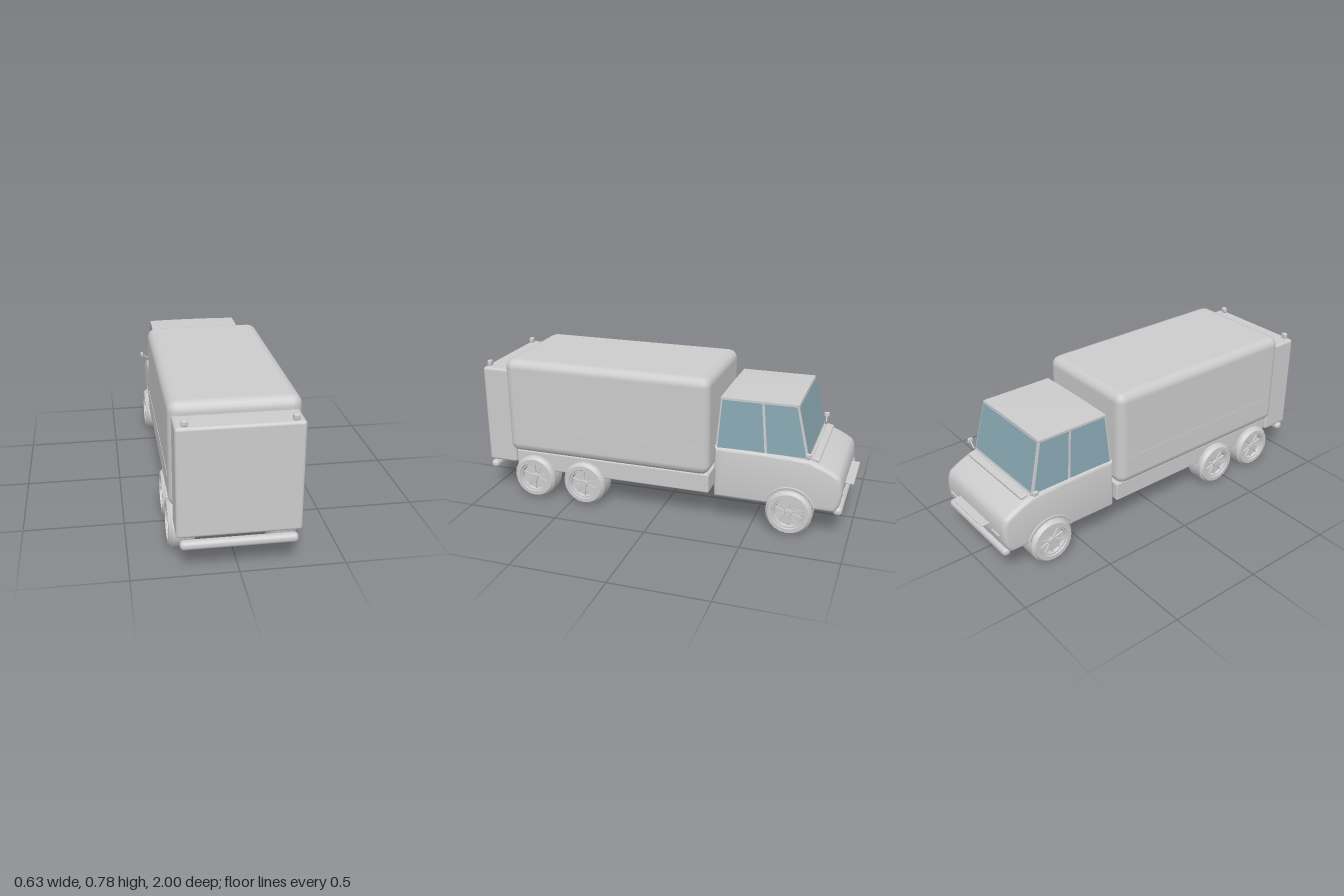
import * as THREE from 'three';
import { toCreasedNormals } from 'three/addons/utils/BufferGeometryUtils.js';
import { RoundedBoxGeometry } from 'three/addons/geometries/RoundedBoxGeometry.js';

const grey = new THREE.MeshStandardMaterial({ color: 0xcccccc });
const glass = new THREE.MeshStandardMaterial({ color: 0x89a7b2, side: THREE.DoubleSide });

export function createModel() {
  const truck = new THREE.Group();
  truck.name = 'boxTruck';

  function add(name, geometry, x = 0, y = 0, z = 0, material = grey, parent = truck) {
    const mesh = new THREE.Mesh(geometry, material);
    mesh.name = name;
    mesh.position.set(x, y, z);
    parent.add(mesh);
    return mesh;
  }
  const rounded = (w, h, d, r, seg = 2) => new RoundedBoxGeometry(w, h, d, seg, r);

  // Cargo body, rear door section and chassis
  add('cargoBox', rounded(0.61, 0.525, 1.137, 0.05), 0, 0.5225, 0.288);
  add('rearDoor', rounded(0.576, 0.537, 0.165, 0.015), 0, 0.4565, 0.9075);
  add('chassis', rounded(0.54, 0.105, 1.105, 0.008), 0, 0.2075, 0.2775);

  // Cab lower body: side profile (forward distance, height) extruded across the width
  const side = new THREE.Shape();
  side.moveTo(0.31, 0.147);
  side.lineTo(0.92, 0.147);
  side.quadraticCurveTo(0.955, 0.17, 0.957, 0.25);
  side.quadraticCurveTo(0.957, 0.325, 0.935, 0.345);
  side.quadraticCurveTo(0.86, 0.395, 0.77, 0.415);
  side.quadraticCurveTo(0.55, 0.432, 0.302, 0.425);
  side.lineTo(0.302, 0.157);
  side.closePath();
  const lower = new THREE.ExtrudeGeometry(side, {
    depth: 0.506, curveSegments: 8, bevelThickness: 0.03, bevelSize: 0.02, bevelOffset: -0.02, bevelSegments: 4,
  });
  lower.translate(0, 0, -0.253).rotateY(Math.PI / 2);
  add('cabBody', toCreasedNormals(lower, 0.6));

  // Cab upper body: tapered box, wide and long at the belt, narrow at the roof
  const base = { w: 0.268, y: 0.405, back: -0.308, front: -0.785 };
  const roof = { w: 0.25, y: 0.682, back: -0.328, front: -0.717 };
  const upper = new THREE.BoxGeometry(2, 1, 1);
  const pos = upper.attributes.position;
  for (let i = 0; i < pos.count; i++) {
    const e = pos.getY(i) > 0 ? roof : base;
    pos.setXYZ(i, Math.sign(pos.getX(i)) * e.w, e.y, pos.getZ(i) > 0 ? e.back : e.front);
  }
  upper.computeVertexNormals();
  add('cabUpper', upper);

  // Slightly crowned roof skin
  const skin = new THREE.BoxGeometry(0.504, 0.012, 0.394, 8, 1, 6);
  const sp = skin.attributes.position;
  for (let i = 0; i < sp.count; i++) {
    const u = sp.getX(i) / 0.252, v = sp.getZ(i) / 0.197;
    if (sp.getY(i) > 0) sp.setY(i, 0.002 + 0.006 * (1 - u * u) * (1 - 0.5 * v * v));
  }
  skin.computeVertexNormals();
  add('cabRoof', toCreasedNormals(skin, 0.5), 0, 0.682, -0.5225);

  // Glass panes lie on the sloping faces; t runs from belt to roof
  const mix = THREE.MathUtils.lerp;
  const at = (t, key) => mix(base[key], roof[key], t);
  function pane(name, point, u0, u1, t0, t1) {
    const c = [point(u0, t0), point(u1, t0), point(u1, t1), point(u0, t1)];
    const g = new THREE.BufferGeometry();
    g.setAttribute('position', new THREE.Float32BufferAttribute(c.flat(), 3));
    g.setIndex([0, 1, 2, 0, 2, 3]);
    g.computeVertexNormals();
    add(name, g, 0, 0, 0, glass);
  }
  const frontPoint = (u, t) => [-u * at(t, 'w'), at(t, 'y'), at(t, 'front') - 0.003];
  pane('windscreen', frontPoint, -0.97, 0.97, 0.08, 0.97);
  for (const s of [1, -1]) {
    const sidePoint = (u, t) => {
      const v = s > 0 ? u : 1 - u;
      return [s * (at(t, 'w') + 0.003), at(t, 'y'), mix(at(t, 'back'), at(t, 'front'), v)];
    };
    for (const [name, a, b] of [['rearSideWindow', 0.02, 0.535], ['frontSideWindow', 0.565, 0.98]]) {
      pane(name, sidePoint, s > 0 ? a : 1 - b, s > 0 ? b : 1 - a, 0.06, 0.97);
    }
  }

  // Cowl, grille plate and bumpers
  const cowl = add('cowlStrip', rounded(0.505, 0.018, 0.04, 0.006), 0, 0.409, -0.815);
  cowl.rotation.x = -0.2;
  add('grillePlate', rounded(0.286, 0.01, 0.055, 0.004), 0, 0.258, -0.9725);
  add('frontBumper', rounded(0.544, 0.044, 0.045, 0.02, 4), 0, 0.15, -0.94);
  add('rearBumper', rounded(0.544, 0.044, 0.045, 0.02, 4), 0, 0.149, 0.9775);

  // Details on each side
  for (const s of [1, -1]) {
    add('sideRail', new THREE.BoxGeometry(0.006, 0.03, 1.03), s * 0.304, 0.407, 0.285);
    add('roofLamp', rounded(0.032, 0.03, 0.024, 0.008), s * 0.243, 0.74, 0.967);
    add('lampFoot', new THREE.CylinderGeometry(0.008, 0.01, 0.01, 10), s * 0.243, 0.727, 0.967);
    add('headlamp', rounded(0.07, 0.012, 0.02, 0.004), s * 0.2, 0.237, -0.953);
    add('mirror', rounded(0.016, 0.027, 0.03, 0.007), s * 0.307, 0.449, -0.787);
    const stalk = new THREE.LineCurve3(
      new THREE.Vector3(s * 0.265, 0.42, -0.79), new THREE.Vector3(s * 0.304, 0.446, -0.788));
    add('mirrorStalk', new THREE.TubeGeometry(stalk, 1, 0.004, 8));
    const arch = new THREE.TorusGeometry(0.132, 0.006, 8, 24, Math.PI * 0.8);
    arch.rotateZ(Math.PI * 0.1).rotateY(Math.PI / 2);
    add('wheelArch', arch, s * 0.281, 0.122, -0.7);
  }

  // Wheels: lathed tyre with a recessed rim, spokes and hub
  const profile = [[0, -0.0625], [0.105, -0.0625], [0.12, -0.045], [0.12, 0.045], [0.106, 0.0625],
    [0.085, 0.0625], [0.082, 0.056], [0.074, 0.056], [0.07, 0.04], [0, 0.04]];
  const tyre = toCreasedNormals(
    new THREE.LatheGeometry(profile.map(([r, y]) => new THREE.Vector2(r, y)), 20), 0.5);
  tyre.rotateZ(-Math.PI / 2);
  const hub = new THREE.CylinderGeometry(0.018, 0.024, 0.018, 16).rotateZ(-Math.PI / 2);
  const spoke = new THREE.BoxGeometry(0.01, 0.056, 0.008).translate(0, 0.045, 0);
  for (const s of [1, -1]) {
    for (const z of [0.715, 0.42, -0.7]) {
      const wheel = new THREE.Group();
      wheel.name = z < 0 ? 'frontWheel' : 'rearWheel';
      wheel.position.set(s * 0.2435, 0.12, z);
      if (s < 0) wheel.rotation.y = Math.PI;
      add('tyre', tyre, 0, 0, 0, grey, wheel);
      add('hub', hub, 0.046, 0, 0, grey, wheel);
      for (let i = 0; i < 10; i++) {
        add('spoke', spoke, 0.044, 0, 0, grey, wheel).rotation.x = (i * Math.PI) / 5;
      }
      truck.add(wheel);
    }
  }
  return truck;
}
